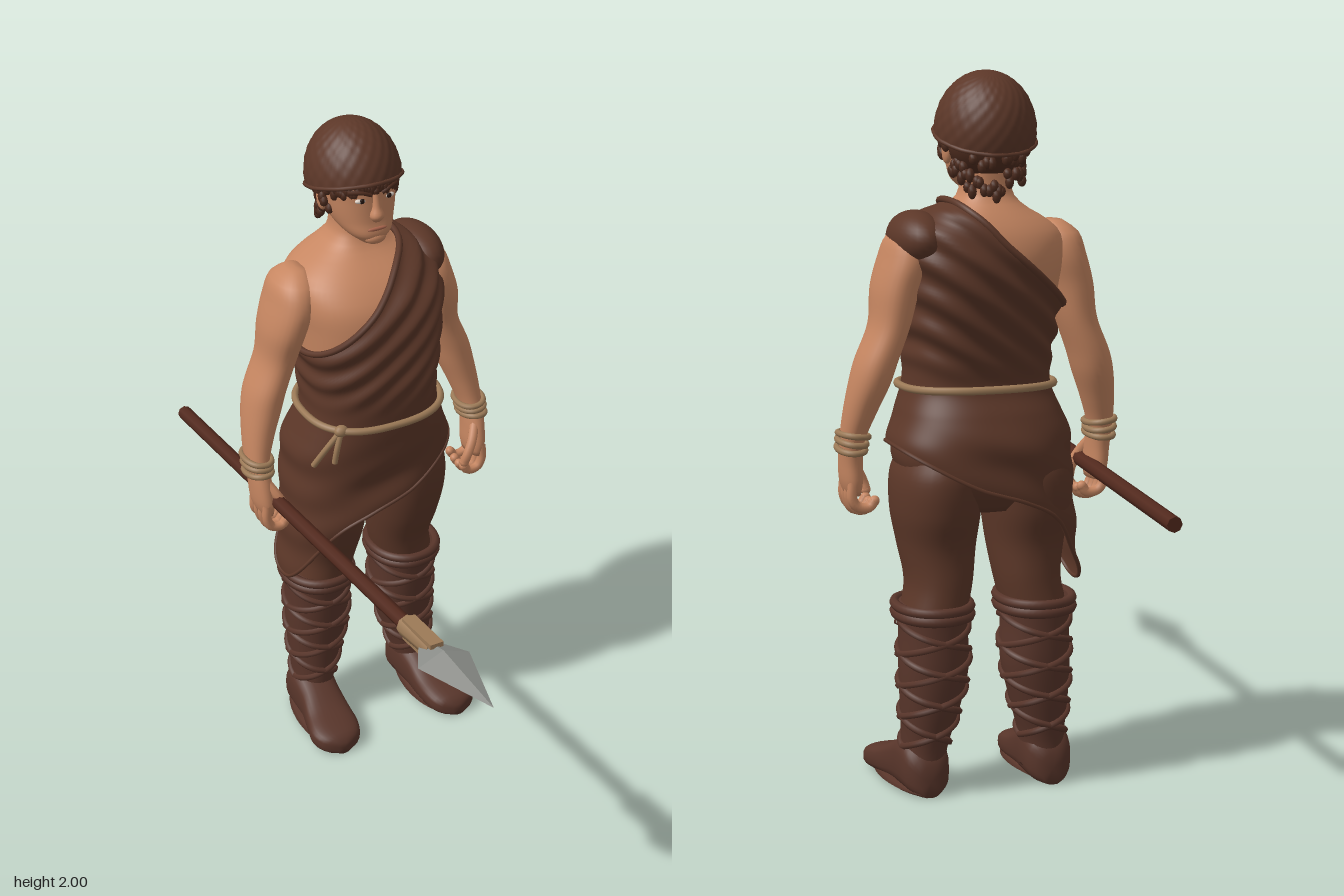
import * as THREE from 'three';

const mat = (name, color, side = THREE.FrontSide) => {
  const m = new THREE.MeshStandardMaterial({ color, side });
  m.name = name;
  return m;
};
const V = (x, y, z) => new THREE.Vector3(x, y, z);

// Smooth lookup in rows keyed by their first number
function sample(rows, k) {
  let i = 0;
  while (i < rows.length - 2 && k > rows[i + 1][0]) i++;
  const p = j => rows[Math.max(0, Math.min(rows.length - 1, j))];
  const a = p(i), b = p(i + 1), h = b[0] - a[0];
  const t = Math.max(0, Math.min(1, (k - a[0]) / h));
  return a.map((_, c) => {
    const m = j => (p(j + 1)[c] - p(j - 1)[c]) / (p(j + 1)[0] - p(j - 1)[0]) * h;
    return a[c] * (2 * t ** 3 - 3 * t * t + 1) + m(i) * (t ** 3 - 2 * t * t + t)
      + b[c] * (3 * t * t - 2 * t ** 3) + m(i + 1) * (t ** 3 - t * t);
  });
}
const sp = (v, e = 0.8) => Math.sign(v) * Math.abs(v) ** e;

// Closed-ring surface: f(t, angle) gives a point; optional end caps
function surface(f, nu, nv, caps = true) {
  const pos = [], idx = [];
  for (let j = 0; j <= nv; j++) for (let i = 0; i < nu; i++) pos.push(...f(j / nv, i / nu * Math.PI * 2).toArray());
  for (let j = 0; j < nv; j++) for (let i = 0; i < nu; i++) {
    const a = j * nu + i, b = j * nu + (i + 1) % nu, c = a + nu, d = b + nu;
    idx.push(a, c, b, b, c, d);
  }
  if (caps) for (const j of [0, nv]) {
    const mid = V(0, 0, 0), o = pos.length / 3;
    for (let i = 0; i < nu; i++) mid.add(f(j / nv, i / nu * Math.PI * 2));
    pos.push(...mid.divideScalar(nu).toArray());
    for (let i = 0; i < nu; i++) {
      const a = j * nu + i, b = j * nu + (i + 1) % nu;
      j ? idx.push(o, b, a) : idx.push(o, a, b);
    }
  }
  const g = new THREE.BufferGeometry();
  g.setAttribute('position', new THREE.Float32BufferAttribute(pos, 3));
  g.setIndex(idx);
  g.computeVertexNormals();
  return g;
}
// Limb rows: [y, centre x, centre z, radius x, radius z]
const limbAt = (rows, y, a, off = 0) => {
  const [, cx, cz, rx, rz] = sample(rows, y);
  return V(cx + (rx + off) * sp(Math.cos(a), 0.92), y, cz + (rz + off) * sp(Math.sin(a), 0.92));
};
const limb = (rows, nu = 28, nv = 28) => surface((t, a) =>
  limbAt(rows, rows[0][0] + t * (rows.at(-1)[0] - rows[0][0]), a), nu, nv);
// Trunk rows: [y, half width, front z, back z]
const trunkAt = (rows, y, a, off = 0) => {
  const [, rx, zf, zb] = sample(rows, y);
  return V((rx + off) * sp(Math.cos(a)), y, (zf + zb) / 2 + ((zf - zb) / 2 + off) * sp(Math.sin(a)));
};
const tube = (pts, r, closed = false, n = 24, sides = 8) =>
  new THREE.TubeGeometry(new THREE.CatmullRomCurve3(pts, closed), n, r, sides, closed);
const ball = (x, y, z, rx, ry, rz, n = 20) =>
  new THREE.SphereGeometry(1, n, Math.ceil(n * 0.7)).scale(rx, ry, rz).translate(x, y, z);

const TRUNK = [
  [0.80, 0.10, -0.30, -0.50], [0.86, 0.19, -0.24, -0.55], [0.93, 0.24, -0.20, -0.565], [1.0, 0.24, -0.19, -0.565],
  [1.07, 0.215, -0.185, -0.54], [1.14, 0.19, -0.185, -0.51], [1.22, 0.19, -0.185, -0.525], [1.32, 0.20, -0.18, -0.55],
  [1.42, 0.21, -0.178, -0.575], [1.5, 0.22, -0.195, -0.582], [1.56, 0.21, -0.24, -0.57], [1.6, 0.165, -0.285, -0.55],
  [1.635, 0.105, -0.325, -0.525], [1.67, 0.072, -0.345, -0.50], [1.75, 0.064, -0.35, -0.5]];
const DRAPE = [[0.55, 0.272, -0.22, -0.54], [0.75, 0.258, -0.195, -0.555], [0.86, 0.248, -0.19, -0.565], ...TRUNK.slice(2)];
const THIGH = [
  [0.51, 0.148, -0.42, 0.09, 0.11], [0.6, 0.13, -0.41, 0.092, 0.115], [0.7, 0.13, -0.39, 0.106, 0.135],
  [0.8, 0.133, -0.39, 0.12, 0.163], [0.9, 0.13, -0.39, 0.12, 0.172], [0.97, 0.12, -0.39, 0.10, 0.15]];
const BOOT = [
  [0.04, 0.182, -0.42, 0.066, 0.08], [0.12, 0.175, -0.42, 0.062, 0.078], [0.25, 0.16, -0.43, 0.083, 0.09],
  [0.36, 0.15, -0.43, 0.096, 0.103], [0.47, 0.15, -0.425, 0.094, 0.11], [0.54, 0.15, -0.42, 0.098, 0.118]];
const FOOT = [
  [0.138, 0.205, 0.02, 0.04], [0.155, 0.205, 0.058, 0.058], [0.2, 0.205, 0.08, 0.075], [0.27, 0.196, 0.076, 0.095],
  [0.34, 0.188, 0.068, 0.13], [0.42, 0.183, 0.07, 0.16], [0.48, 0.181, 0.06, 0.13], [0.505, 0.18, 0.03, 0.09]];
const ARM = [
  [0.845, 0.357, -0.342, 0.02, 0.05], [0.88, 0.36, -0.343, 0.029, 0.058], [0.94, 0.363, -0.35, 0.031, 0.053],
  [1.0, 0.363, -0.367, 0.033, 0.05], [1.08, 0.347, -0.388, 0.044, 0.062], [1.16, 0.325, -0.405, 0.054, 0.077],
  [1.22, 0.308, -0.41, 0.056, 0.083], [1.32, 0.27, -0.41, 0.054, 0.086], [1.42, 0.25, -0.40, 0.062, 0.104],
  [1.5, 0.225, -0.40, 0.065, 0.108], [1.56, 0.212, -0.405, 0.055, 0.085], [1.59, 0.2, -0.41, 0.025, 0.04]];
const HEAD = [
  [1.672, 0.03, -0.285, -0.36], [1.70, 0.066, -0.268, -0.44], [1.74, 0.088, -0.274, -0.5], [1.80, 0.1, -0.277, -0.52],
  [1.85, 0.105, -0.28, -0.53], [1.92, 0.09, -0.31, -0.52]];

export function createModel() {
  const skin = mat('skin', 0xc68661), cloth = mat('brown cloth', 0x5c3728, THREE.DoubleSide);
  const leather = mat('brown leather', 0x58352a), hair = mat('dark hair', 0x4e2c1e), rope = mat('tan rope', 0x9c7a57);
  const steel = mat('steel', 0x8b8d88), wood = mat('dark wood', 0x52291d), white = mat('eye white', 0xd8ccc0);
  const dark = mat('dark eye', 0x24150f), lip = mat('lips', 0xa8644c);
  const root = new THREE.Group();
  const add = (name, g, m) => {
    const mesh = new THREE.Mesh(g, m);
    mesh.name = name;
    root.add(mesh);
    return mesh;
  };
  // Adds a left part and its mirrored right twin
  const both = (name, g, m) => {
    add('left' + name, g, m);
    const r = g.clone().scale(-1, 1, 1), ix = r.index.array;
    for (let i = 0; i < ix.length; i += 3) [ix[i], ix[i + 1]] = [ix[i + 1], ix[i]];
    const n = r.attributes.normal, src = g.attributes.normal;
    for (let i = 0; i < n.count; i++) n.setXYZ(i, -src.getX(i), src.getY(i), src.getZ(i));
    add('right' + name, r, m);
  };
  const ring = (n, f) => Array.from({ length: n }, (_, i) => f(i / n * Math.PI * 2));

  // Trunk and pelvis
  add('torso', surface((t, a) => trunkAt(TRUNK, 1.05 + t * 0.7, a), 56, 40), skin);
  add('pelvis', surface((t, a) => trunkAt(TRUNK, 0.8 + t * 0.3, a), 48, 16), cloth);

  // One-shouldered tunic with diagonal folds
  const topEdge = a => {
    let lo = 1.1, hi = 1.72;
    for (let i = 0; i < 24; i++) {
      const y = (lo + hi) / 2;
      if (y < 1.545 + 0.94 * trunkAt(TRUNK, y, a).x) lo = y; else hi = y;
    }
    return lo;
  };
  const bottomEdge = a => {
    const x = 0.28 * Math.cos(a);
    return 0.86 + 0.45 * x - 10 * Math.max(0, -x - 0.1) ** 2.4;
  };
  const tunicAt = (a, y) => {
    const p = trunkAt(DRAPE, y, a), up = THREE.MathUtils.smoothstep(y, 1.15, 1.28);
    const low = 1 - THREE.MathUtils.smoothstep(y, 0.9, 1.12);
    const fold = 0.007 * up * Math.sin((y - 0.8 * p.x) * 72 + 2 * Math.sin(a)) + 0.004 * low * Math.sin((y - 0.5 * p.x) * 45);
    const q = trunkAt(DRAPE, y, a, 0.013 + fold);
    q.y += 0.014 * THREE.MathUtils.smoothstep(y, 1.53, 1.6);
    return q;
  };
  add('tunic', surface((t, a) => {
    const b = bottomEdge(a);
    return tunicAt(a, b + t * (topEdge(a) - b));
  }, 96, 90, false), cloth);
  add('tunicNeckHem', tube(ring(48, a => tunicAt(a, topEdge(a))), 0.01, true, 120), cloth);
  add('tunicLowerHem', tube(ring(48, a => tunicAt(a, bottomEdge(a))), 0.006, true, 120, 6), cloth);
  add('shoulderDrape', ball(0.195, 1.553, -0.415, 0.075, 0.075, 0.13, 28), cloth);

  // Rope belt, knot and hanging ends
  const beltAt = a => trunkAt(TRUNK, 1.137 - 0.008 * Math.sin(a), a, 0.022);
  add('belt', tube(ring(40, beltAt), 0.011, true, 96), rope);
  const k = beltAt(2.35);
  add('beltKnot', ball(k.x, k.y, k.z, 0.022, 0.018, 0.018, 12), rope);
  for (const [end, y] of [[2.6, 1.01], [2.3, 1.03]])
    add('beltEnd', tube([k, trunkAt(DRAPE, 1.08, (2.35 + end) / 2, 0.03), trunkAt(DRAPE, y, end, 0.026)], 0.009), rope);

  // Legs, boots, cuffs and criss-cross lacing
  both('Trouser', limb(THIGH, 36, 32), cloth);
  both('Boot', limb(BOOT, 32, 28), leather);
  both('Foot', surface((t, a) => {
    const [d, cx, rx, h] = sample(FOOT, 0.138 + t * 0.367);
    return V(cx + rx * sp(Math.cos(a)), h / 2 + h / 2 * sp(Math.sin(a), 0.65), -d);
  }, 28, 28), leather);
  both('Sole', surface((t, a) => {
    const u = -Math.cos(Math.PI * t);
    return V(0.192 + Math.sqrt(Math.max(0, 1 - u * u)) * (0.079 - 0.008 * u) * Math.cos(a), 0.012 + 0.012 * Math.sin(a), -0.325 - 0.18 * u);
  }, 12, 20, false), leather);
  for (const [y, r] of [[0.535, 0.014], [0.512, 0.016]])
    both('BootCuff', tube(ring(24, a => limbAt(BOOT, y, a, 0.004)), r, true, 48), leather);
  for (const s of [1, -1]) for (const phase of [0, Math.PI])
    both('BootLacing', tube(Array.from({ length: 61 }, (_, i) =>
      limbAt(BOOT, 0.13 + 0.36 * i / 60, phase + s * i / 60 * Math.PI * 4, 0.001)), 0.01, false, 120, 6), leather);

  // Arms, fingers and bracelets
  both('Arm', limb(ARM, 28, 48), skin);
  for (let i = 0; i < 4; i++) {
    const z = -0.298 - i * 0.029, d = [0.006, 0, 0.004, 0.014][i];
    both('Finger', tube([V(0.366, 0.885, z), V(0.368, 0.835, z), V(0.352, 0.8 + d, z), V(0.32, 0.797 + d, z), V(0.305, 0.815 + d, z)], 0.0145, false, 16), skin);
    both('Fingertip', ball(0.305, 0.815 + d, z, 0.0145, 0.0145, 0.0145, 10), skin);
  }
  both('Thumb', tube([V(0.355, 0.95, -0.32), V(0.33, 0.905, -0.292), V(0.31, 0.865, -0.285), V(0.303, 0.84, -0.29)], 0.015, false, 12), skin);
  both('ThumbTip', ball(0.303, 0.84, -0.29, 0.015, 0.015, 0.015, 10), skin);
  for (let i = 0; i < 3; i++)
    both('Bracelet', tube(ring(16, a => limbAt(ARM, 0.975 + i * 0.02, a, 0.005).add(V(0, 0.006 * Math.sin(a + i), 0))), 0.009, true, 40), rope);

  // Head and face
  add('head', surface((t, a) => trunkAt(HEAD, 1.672 + t * 0.248, a), 40, 32), skin);
  add('nose', limb([[1.745, 0, -0.278, 0.012, 0.012], [1.762, 0, -0.277, 0.022, 0.025], [1.79, 0, -0.28, 0.013, 0.018], [1.835, 0, -0.285, 0.01, 0.012]], 16, 14), skin);
  add('chin', ball(0, 1.69, -0.287, 0.034, 0.02, 0.022), skin);
  add('mouth', ball(0, 1.722, -0.273, 0.031, 0.006, 0.007), lip);
  both('Ear', ball(0.105, 1.785, -0.41, 0.014, 0.036, 0.024), skin);
  both('Eye', ball(0.044, 1.812, -0.288, 0.018, 0.008, 0.01), white);
  both('Iris', ball(0.043, 1.813, -0.281, 0.008, 0.008, 0.005, 12), dark);
  both('Eyebrow', tube([V(0.016, 1.829, -0.274), V(0.045, 1.84, -0.279), V(0.076, 1.838, -0.3)], 0.006, false, 10, 6), hair);

  // Curly hair below the cap
  add('hairBase', ball(0, 1.805, -0.448, 0.112, 0.095, 0.09, 24), hair);
  let seed = 7;
  const rnd = () => (seed = (seed * 16807) % 2147483647) / 2147483647;
  for (let i = 0; i < 96; i++) {
    const a = i / 96 * Math.PI * 2, s = Math.sin(a);
    const drop = s > 0.35 ? 0.03 : s > -0.1 ? 0.075 : 0.115, rim = 1.825 + 0.04 * s;
    const y = rim - rnd() * drop, pull = y < 1.77 ? 0.88 : 1;
    add('hairCurl', ball(0.113 * pull * Math.cos(a), y, -0.413 + 0.132 * pull * s - (s < 0 ? 0.005 : 0), 0.013, 0.015 + 0.006 * rnd(), 0.013, 8), hair);
  }

  // Knitted cap, lower at the back
  const capAt = (t, a) => {
    const p = (1 - t) * 1.66, b = 1 + 0.009 * Math.sin(a * 22) * Math.sin(p * 20) * Math.min(1, p);
    return V(0.137 * b * Math.sin(p) * Math.cos(a), 0.164 * b * Math.cos(p), 0.154 * b * Math.sin(p) * Math.sin(a));
  };
  const cap = add('cap', surface(capAt, 88, 48), cloth);
  const rim = add('capRim', tube(ring(32, a => capAt(0, a)), 0.006, true, 64), cloth);
  for (const m of [cap, rim]) {
    m.position.set(0, 1.836, -0.42);
    m.rotation.x = -0.27;
  }

  // Spear: shaft, binding and four-sided blade
  const spear = new THREE.Group();
  spear.name = 'spear';
  const part = (name, g, m) => spear.add(Object.assign(new THREE.Mesh(g, m), { name }));
  part('spearShaft', new THREE.CylinderGeometry(0.022, 0.022, 1.6, 8).translate(0, 0.8, 0).toNonIndexed(), wood);
  part('spearBinding', new THREE.CylinderGeometry(0.026, 0.033, 0.15, 8).translate(0, 1.56, 0), rope);
  for (const s of [1, -1])
    part('spearSplint', new THREE.BoxGeometry(0.04, 0.16, 0.014).translate(0, 1.575, s * 0.026), rope);
  const blade = new THREE.LatheGeometry([[0.0, 1.585], [0.028, 1.6], [0.078, 1.69], [0, 1.954]].map(p => new THREE.Vector2(...p)), 4)
    .scale(1, 1, 0.4).toNonIndexed();
  blade.computeVertexNormals();
  part('spearBlade', blade, steel);
  spear.position.set(-0.333, 0.845, -0.972);
  spear.rotation.x = Math.PI / 2 - 0.068;
  root.add(spear);
  return root;
}
